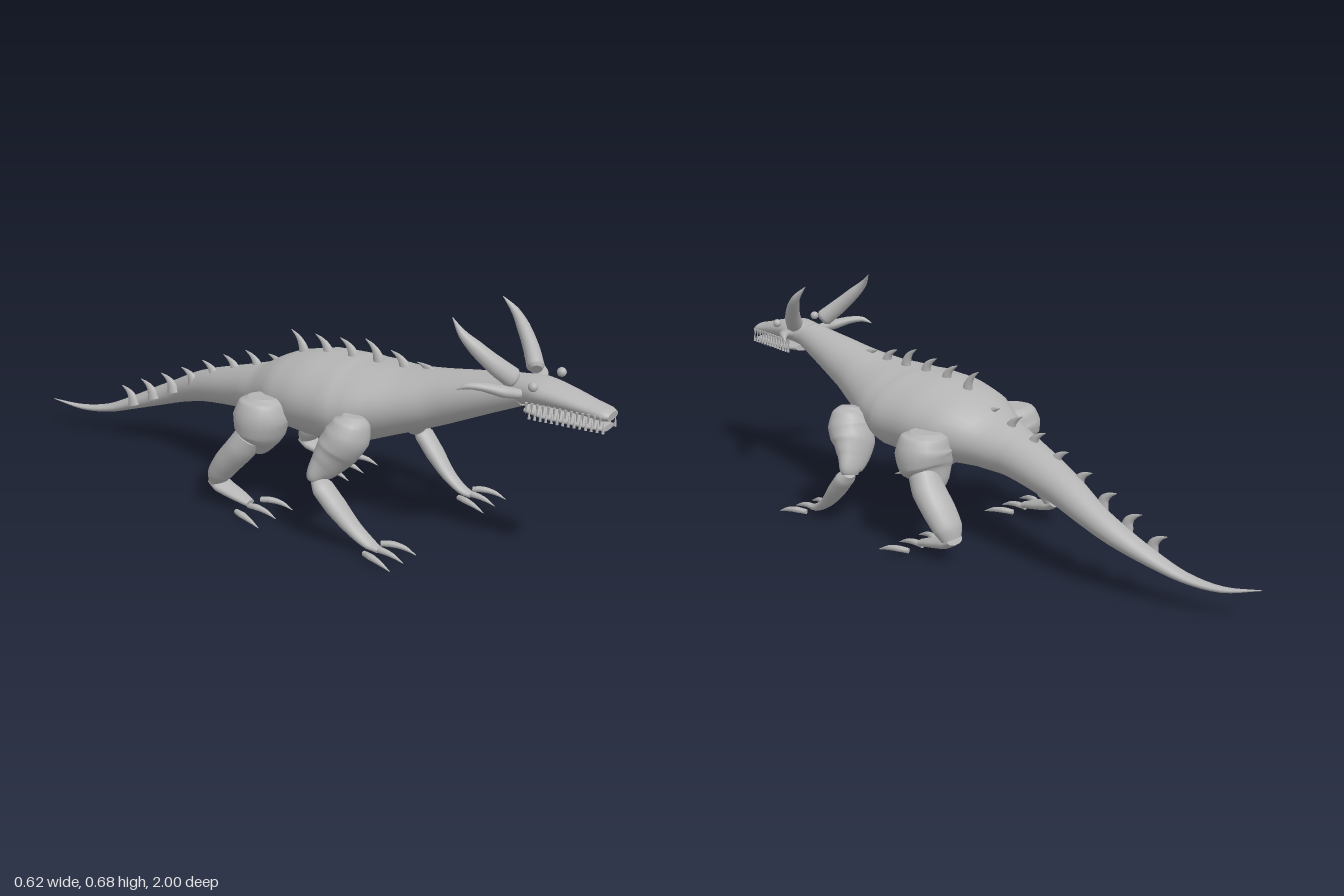
import * as THREE from 'three';

const V = (a) => new THREE.Vector3(a[0], a[1], a[2]);

// Lofts elliptical rings along a smooth path; each station is [x, y, z, sideRadius, upRadius]
function loft(stations, ref = [0, 1, 0], steps = 4, segs = 20) {
  const path = new THREE.CatmullRomCurve3(stations.map(V), false, 'centripetal');
  const n = stations.length - 1, rings = n * steps;
  const pos = [], idx = [], up0 = V(ref);
  const centres = [];
  for (let i = 0; i <= rings; i++) {
    const u = i / rings;
    const c = path.getPoint(u), t = path.getTangent(u);
    const side = up0.clone().cross(t).normalize(), up = t.clone().cross(side);
    const k = Math.min(n - 1, Math.floor(u * n)), f = u * n - k;
    const r = [3, 4].map((m) => THREE.MathUtils.lerp(stations[k][m], stations[k + 1][m], f));
    centres.push(c);
    for (let j = 0; j < segs; j++) {
      const a = (j / segs) * Math.PI * 2;
      const p = c.clone().addScaledVector(side, Math.cos(a) * r[0]).addScaledVector(up, Math.sin(a) * r[1]);
      pos.push(p.x, p.y, p.z);
    }
  }
  for (let i = 0; i < rings; i++) {
    for (let j = 0; j < segs; j++) {
      const a = i * segs + j, b = i * segs + (j + 1) % segs;
      idx.push(a, b, a + segs, b, b + segs, a + segs);
    }
  }
  // end caps on their own vertices, so the rims stay crisp
  for (const end of [0, rings]) {
    const base = pos.length / 3, c = centres[end];
    pos.push(c.x, c.y, c.z);
    for (let j = 0; j < segs; j++) {
      const o = (end * segs + j) * 3;
      pos.push(pos[o], pos[o + 1], pos[o + 2]);
    }
    for (let j = 0; j < segs; j++) {
      const a = base + 1 + j, b = base + 1 + (j + 1) % segs;
      if (end === 0) idx.push(base, b, a);
      else idx.push(base, a, b);
    }
  }
  const g = new THREE.BufferGeometry();
  g.setAttribute('position', new THREE.Float32BufferAttribute(pos, 3));
  g.setIndex(idx);
  g.computeVertexNormals();
  return g;
}

export function createModel() {
  const model = new THREE.Group();
  model.name = 'hornedLizard';
  const grey = new THREE.MeshStandardMaterial({ color: 0xb4b4b4 });
  grey.name = 'stone grey';

  const add = (name, geometry) => {
    const mesh = new THREE.Mesh(geometry, grey);
    mesh.name = name;
    model.add(mesh);
    return mesh;
  };

  // neck, trunk and the sideways curling tail
  add('body', loft([
    [0, 0.475, 0.74, 0.048, 0.043],
    [0, 0.435, 0.6, 0.074, 0.063],
    [0, 0.405, 0.5, 0.094, 0.077],
    [0, 0.378, 0.4, 0.132, 0.09],
    [0, 0.357, 0.3, 0.178, 0.108],
    [0, 0.342, 0.22, 0.197, 0.123],
    [0, 0.338, 0.1, 0.188, 0.122],
    [0, 0.327, 0.0, 0.167, 0.109],
    [0, 0.305, -0.1, 0.113, 0.08],
    [0.006, 0.288, -0.2, 0.08, 0.067],
    [0.035, 0.241, -0.4, 0.056, 0.05],
    [0.05, 0.196, -0.52, 0.043, 0.038],
    [0.047, 0.164, -0.6, 0.039, 0.032],
    [0.03, 0.124, -0.7, 0.031, 0.022],
    [0.006, 0.089, -0.8, 0.022, 0.013],
    [-0.02, 0.078, -0.9, 0.013, 0.008],
    [-0.055, 0.095, -1.0, 0.001, 0.001],
  ], [0, 1, 0], 4, 32));

  // head and jaws
  add('head', loft([
    [0, 0.475, 0.725, 0.046, 0.042],
    [0, 0.484, 0.8, 0.062, 0.037],
    [0, 0.477, 0.87, 0.052, 0.03],
    [0, 0.466, 0.94, 0.041, 0.022],
    [0, 0.459, 0.985, 0.037, 0.018],
    [0, 0.457, 1.0, 0.029, 0.012],
  ], [0, 1, 0], 4, 24));
  add('lowerJaw', loft([
    [0, 0.432, 0.765, 0.04, 0.012],
    [0, 0.428, 0.82, 0.05, 0.011],
    [0, 0.425, 0.92, 0.04, 0.01],
    [0, 0.424, 0.99, 0.032, 0.008],
  ]));

  // teeth
  const tooth = new THREE.ConeGeometry(0.0045, 0.032, 6);
  for (const s of [-1, 1]) {
    for (let i = 0; i < 14; i++) {
      const z = 0.782 + i * 0.0155, x = s * (0.057 - i * 0.0014);
      const upper = add('upperTooth', tooth);
      upper.position.set(x, 0.446, z);
      upper.rotation.x = Math.PI;
      add('lowerTooth', tooth).position.set(x - s * 0.004, 0.433, z + 0.008);
    }
  }

  // back spines, hooked towards the tail: base height and tip height
  const spines = [
    [0.135, 0.183], [0.175, 0.222], [0.215, 0.26], [0.255, 0.297], [0.29, 0.337],
    [0.32, 0.372], [0.345, 0.402], [0.37, 0.408], [0.42, 0.5], [0.44, 0.502],
    [0.45, 0.507], [0.45, 0.52], [0.45, 0.502], [0.455, 0.485],
  ];
  spines.forEach(([base, tip], i) => {
    const z = -0.7 + i * 0.0877, h = tip - base, w = i === 13 ? 0.011 : 0.016;
    add('backSpine', loft([
      [0, base - 0.01, z + 0.018, w, 0.021],
      [0, base + h * 0.4, z + 0.011, w * 0.75, 0.015],
      [0, base + h * 0.75, z - 0.006, w * 0.4, 0.008],
      [0, tip, z - 0.032, 0.001, 0.001],
    ], [0, 0, 1], 3, 10));
  });

  for (const s of [-1, 1]) {
    const side = s > 0 ? 'left' : 'right';
    // stations are written for the left and mirrored here
    const limb = (name, rows, ref, steps, segs) =>
      add(side + name, loft(rows.map(([x, ...r]) => [s * x, ...r]), ref, steps, segs));

    // eye, horn and ear spike
    add(side + 'Eye', new THREE.SphereGeometry(0.013, 16, 12)).position.set(s * 0.078, 0.516, 0.81);
    limb('Horn', [
      [0.056, 0.516, 0.746, 0.02, 0.016],
      [0.062, 0.523, 0.74, 0.029, 0.024],
      [0.094, 0.558, 0.708, 0.027, 0.022],
      [0.124, 0.605, 0.664, 0.021, 0.018],
      [0.137, 0.64, 0.63, 0.013, 0.011],
      [0.13, 0.676, 0.595, 0.001, 0.001],
    ], [0, 0, 1]);
    limb('EarSpike', [
      [0.064, 0.484, 0.765, 0.015, 0.013],
      [0.1, 0.495, 0.735, 0.022, 0.016],
      [0.14, 0.51, 0.695, 0.016, 0.011],
      [0.165, 0.512, 0.665, 0.009, 0.008],
      [0.18, 0.501, 0.64, 0.001, 0.001],
    ]);

    // front leg: the upper arm bulges, then pinches in at the elbow
    limb('UpperArm', [
      [0.187, 0.362, 0.325, 0.028, 0.03],
      [0.19, 0.345, 0.324, 0.055, 0.05],
      [0.199, 0.305, 0.315, 0.071, 0.062],
      [0.21, 0.262, 0.29, 0.074, 0.056],
      [0.232, 0.225, 0.27, 0.06, 0.04],
      [0.255, 0.195, 0.254, 0.04, 0.025],
      [0.259, 0.178, 0.25, 0.027, 0.016],
    ], [0, 0, 1]);
    limb('Forearm', [
      [0.258, 0.182, 0.255, 0.022, 0.016],
      [0.258, 0.162, 0.275, 0.036, 0.025],
      [0.253, 0.115, 0.318, 0.035, 0.025],
      [0.245, 0.06, 0.374, 0.027, 0.018],
      [0.241, 0.027, 0.425, 0.022, 0.012],
      [0.241, 0.018, 0.455, 0.014, 0.009],
    ], [0, 0, 1]);

    // hind leg
    limb('Thigh', [
      [0.18, 0.351, 0.006, 0.045, 0.045],
      [0.181, 0.338, 0.006, 0.07, 0.067],
      [0.188, 0.295, 0.006, 0.087, 0.08],
      [0.185, 0.25, -0.002, 0.086, 0.068],
      [0.19, 0.22, -0.016, 0.07, 0.05],
      [0.205, 0.2, -0.03, 0.045, 0.034],
    ], [0, 0, 1]);
    limb('Shin', [
      [0.212, 0.235, -0.018, 0.046, 0.042],
      [0.218, 0.195, -0.045, 0.053, 0.043],
      [0.22, 0.145, -0.09, 0.053, 0.04],
      [0.219, 0.1, -0.124, 0.048, 0.034],
      [0.218, 0.07, -0.138, 0.034, 0.023],
    ], [0, 0, 1]);
    limb('HindFoot', [
      [0.218, 0.072, -0.15, 0.03, 0.015],
      [0.218, 0.057, -0.12, 0.036, 0.018],
      [0.219, 0.04, -0.06, 0.028, 0.014],
      [0.22, 0.027, -0.015, 0.018, 0.01],
    ]);

    // three splayed claws on each foot
    for (const [name, x0, z0, spread] of [['FrontClaw', 0.243, 0.435, 0.052], ['HindClaw', 0.22, -0.02, 0.068]]) {
      for (const k of [-1, 0, 1]) {
        const x = x0 + k * spread, d = k * 0.012;
        limb(name, [
          [x - d, 0.018, z0, 0.008, 0.008],
          [x, 0.02, z0 + 0.03, 0.011, 0.009],
          [x + d * 0.7, 0.015, z0 + 0.065, 0.007, 0.007],
          [x + d, 0.002, z0 + 0.1, 0.001, 0.001],
        ], [0, 1, 0], 4, 10);
      }
    }
  }
  return model;
}
